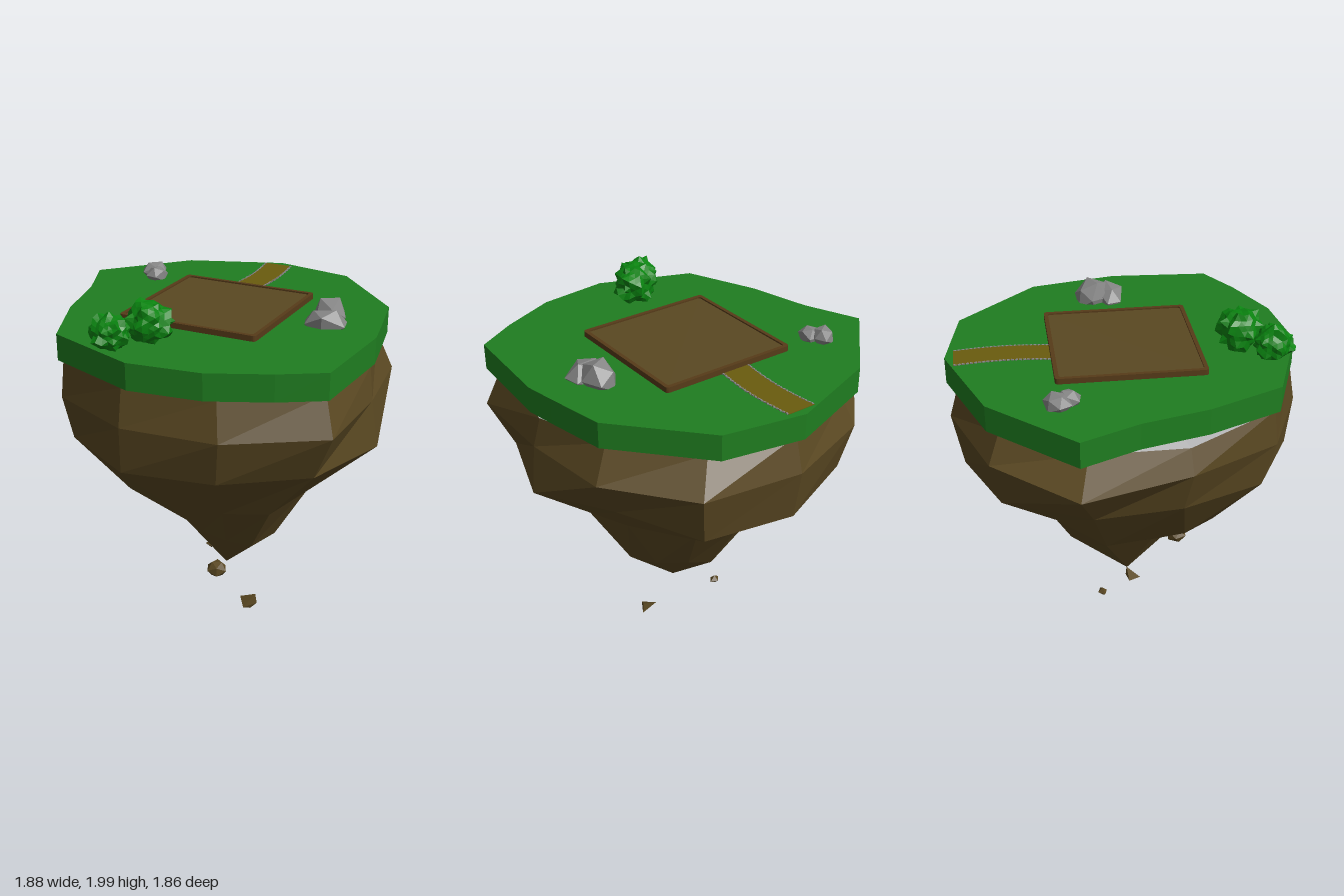
import * as THREE from 'three';
import { ConvexGeometry } from 'three/addons/geometries/ConvexGeometry.js';

const GROUND = 1.78;
const mat = (name, color, extra = {}) =>
  Object.assign(new THREE.MeshStandardMaterial({ color, flatShading: true, ...extra }), { name });

// Stack of rings (top to bottom, clockwise seen from above), optional caps
function loft(rings, capTop, capBottom) {
  const p = [];
  const tri = (...v) => v.forEach(q => p.push(...q));
  const n = rings[0].length;
  for (let r = 0; r + 1 < rings.length; r++) {
    for (let i = 0; i < n; i++) {
      const j = (i + 1) % n, a = rings[r], b = rings[r + 1];
      tri(a[i], a[j], b[j]);
      tri(a[i], b[j], b[i]);
    }
  }
  const cap = (ring, up) => {
    const c = [0, 1, 2].map(k => ring.reduce((s, v) => s + v[k], 0) / n);
    ring.forEach((v, i) => {
      const w = ring[(i + 1) % n];
      up ? tri(c, w, v) : tri(c, v, w);
    });
  };
  if (capTop) cap(rings[0], true);
  if (capBottom) cap(rings[rings.length - 1], false);
  const g = new THREE.BufferGeometry();
  g.setAttribute('position', new THREE.Float32BufferAttribute(p, 3));
  g.computeVertexNormals();
  return g;
}

// Repeatable noise from a position, 0 to 1
function hash(v, seed) {
  const r = k => Math.round(k * 1000);
  const s = Math.sin(r(v.x) * 12.9898 + r(v.y) * 78.233 + r(v.z) * 37.719 + seed * 5.17) * 43758.5453;
  return s - Math.floor(s);
}

// Icosahedron with corners between two radii; a higher power leaves fewer, sharper spikes
function lump(detail, low, high, seed, power = 1) {
  const g = new THREE.IcosahedronGeometry(1, detail);
  const pos = g.attributes.position, v = new THREE.Vector3();
  for (let i = 0; i < pos.count; i++) {
    v.fromBufferAttribute(pos, i);
    v.multiplyScalar(low + (high - low) * hash(v, seed) ** power);
    pos.setXYZ(i, v.x, v.y, v.z);
  }
  g.computeVertexNormals();
  return g;
}

function roundedSquare(shape, h, r) {
  shape.moveTo(-h + r, -h);
  [[h, -h, h, -h + r, h - r, -h], [h, h, h - r, h, h, h - r],
    [-h, h, -h, h - r, -h + r, h], [-h, -h, -h + r, -h, -h, -h + r]].forEach(([cx, cy, x, y, sx, sy]) => {
    shape.lineTo(sx, sy);
    shape.quadraticCurveTo(cx, cy, x, y);
  });
  return shape;
}

export function createModel() {
  const model = new THREE.Group();
  model.name = 'floatingIsland';
  const grass = mat('grass green', 0x1f7d20);
  const leaf = mat('leaf green', 0x0a8410);
  const earth = mat('earth brown', 0x5a4822);
  const wood = mat('border brown', 0x573b19);
  const sand = mat('path ochre', 0x6a5c0e);
  const stone = mat('stone grey', 0x858585);
  const under = mat('underside grey', 0xbcbcbe);

  const add = (name, geometry, material, pos = [0, 0, 0], scale = [1, 1, 1], turn = 0) => {
    const m = new THREE.Mesh(geometry, material);
    m.name = name;
    m.position.set(...pos);
    m.scale.set(...scale);
    m.rotation.y = turn;
    model.add(m);
  };

  // Grass slab with a grey underside
  const lawn = [[-0.94, -0.32], [-0.55, -0.74], [-0.03, -0.93], [0.41, -0.85], [0.81, -0.42], [0.875, -0.1],
    [0.905, 0.06], [0.87, 0.6], [0.65, 0.73], [0.345, 0.865], [-0.04, 0.91], [-0.55, 0.72], [-0.72, 0.33], [-0.81, -0.02]];
  const level = y => lawn.map(([x, z]) => [x, y, z]);
  add('grassSlab', loft([level(GROUND), level(1.64)], true, false), grass);
  add('slabUnderside', loft([level(1.64)], false, true), under);

  // Rock body: uneven cross-sections from the rim down to the tip
  const rim = [[-0.72, 1.57, -0.26], [-0.5, 1.6, -0.68], [-0.03, 1.63, -0.87], [0.4, 1.61, -0.73], [0.76, 1.64, -0.4],
    [0.875, 1.61, 0.03], [0.83, 1.638, 0.53], [0.4, 1.638, 0.83], [-0.08, 1.638, 0.89], [-0.53, 1.638, 0.7], [-0.72, 1.57, 0.24]];
  const shoulder = [[-0.94, -0.32], [-0.55, -0.74], [-0.03, -0.925], [0.51, -0.85], [0.845, -0.435], [0.905, 0.06],
    [0.895, 0.59], [0.43, 0.88], [-0.08, 0.925], [-0.54, 0.72], [-0.775, 0.25]].map(([x, z]) => [x, 1.44, z]);
  const waist = [[-0.74, 1.2, -0.24], [-0.5, 1.18, -0.69], [-0.04, 1.15, -0.87], [0.46, 1.16, -0.79], [0.71, 1.21, -0.39],
    [0.94, 1.18, 0.04], [0.78, 1.18, 0.52], [0.39, 1.19, 0.82], [-0.1, 1.18, 0.89], [-0.52, 1.19, 0.66], [-0.7, 1.2, 0.22]];
  const lower = [[-0.5, 0.85, -0.15], [-0.27, 0.88, -0.4], [0.03, 0.89, -0.515], [0.23, 0.87, -0.42], [0.5, 0.9, -0.16],
    [0.6, 0.9, 0.06], [0.52, 0.88, 0.46], [0.3, 0.88, 0.56], [0, 0.88, 0.595], [-0.31, 0.84, 0.46], [-0.44, 0.85, 0.28]];
  const neck = [[-0.16, 0.6, -0.12], [-0.1, 0.58, -0.23], [0.04, 0.53, -0.3], [0.14, 0.52, -0.22], [0.28, 0.51, -0.11],
    [0.37, 0.51, 0.03], [0.32, 0.52, 0.24], [0.2, 0.56, 0.31], [0.06, 0.6, 0.335], [-0.07, 0.6, 0.26], [-0.14, 0.6, 0.15]];
  const tip = shoulder.map(() => [0.07, 0.245, 0.035]);
  add('rockBody', loft([rim, shoulder, waist, lower, neck, tip], false, false), earth);
  add('rockTopCap', loft([rim], true, false), under);

  // Bare soil plot with a raised border
  add('soilPlot', new THREE.BoxGeometry(0.74, 0.022, 0.74), earth, [0.005, GROUND + 0.011, 0]);
  const frame = roundedSquare(new THREE.Shape(), 0.387, 0.02);
  frame.holes.push(roundedSquare(new THREE.Path(), 0.366, 0.015));
  const frameGeo = new THREE.ExtrudeGeometry(frame, { depth: 0.03, bevelEnabled: false, curveSegments: 4 });
  frameGeo.rotateX(-Math.PI / 2);
  add('plotBorder', frameGeo, wood, [0.005, GROUND, 0]);

  // Gently bent path with small stones along both edges
  const bend = t => -0.036 + 0.02 * Math.sin(t * Math.PI) + 0.006 * t;
  const along = t => -0.885 + 0.5 * t;
  const edge = side => Array.from({ length: 11 }, (_, i) => new THREE.Vector2(bend(i / 10) + side, -along(i / 10)));
  const path = new THREE.Shape([...edge(-0.08), ...edge(0.08).reverse()]);
  const pathGeo = new THREE.ExtrudeGeometry(path, { depth: 0.003, bevelEnabled: false });
  pathGeo.rotateX(-Math.PI / 2);
  add('path', pathGeo, sand, [0, GROUND, 0]);
  const pebble = new THREE.BoxGeometry(0.009, 0.005, 0.015);
  for (const side of [-0.08, 0.08]) {
    for (let i = 0; i < 24; i++) {
      const t = (i + 0.5) / 24;
      add('pathEdgeStone', pebble, stone, [bend(t) + side, GROUND + 0.0025, along(t)], [1, 1, 1], i % 2 ? 0.3 : -0.3);
    }
  }

  // Boulders: position, size, turn
  [[[0.6, 1.79, 0.0], [0.12, 0.085, 0.08], 0.2], [[0.595, 1.805, -0.095], [0.09, 0.1, 0.105], 0.5],
    [[-0.605, 1.805, -0.395], [0.078, 0.058, 0.066], 0.6], [[-0.56, 1.80, -0.34], [0.066, 0.06, 0.06], 1.4]]
    .forEach(([p, s, turn], i) => add('boulder', lump(0, 0.8, 1.14, i + 2), stone, p, s, turn));

  // Spiky bushes
  add('largeBush', lump(3, 0.84, 1.16, 3, 2.5), leaf, [-0.085, 1.88, 0.605], [0.118, 0.118, 0.118]);
  add('smallBush', lump(3, 0.84, 1.16, 8, 2.5), leaf, [-0.215, 1.85, 0.75], [0.104, 0.098, 0.104], 0.7);

  // Loose fragments drifting below
  add('fragmentLarge', lump(0, 0.85, 1.1, 5), earth, [0.165, 0.4, 0.35], [0.058, 0.05, 0.063], 0.4);
  add('fragmentSmall', new THREE.OctahedronGeometry(1), earth, [-0.113, 0.225, -0.135], [0.036, 0.026, 0.028], 0.3);
  const shard = [[0.175, 0.05, 0.065], [0.27, 0.088, 0.06], [0.278, 0.025, 0.055], [0.25, 0, 0.085], [0.23, 0.03, 0.14]];
  add('fragmentShard', new ConvexGeometry(shard.map(p => new THREE.Vector3(...p))), earth);

  return model;
}
